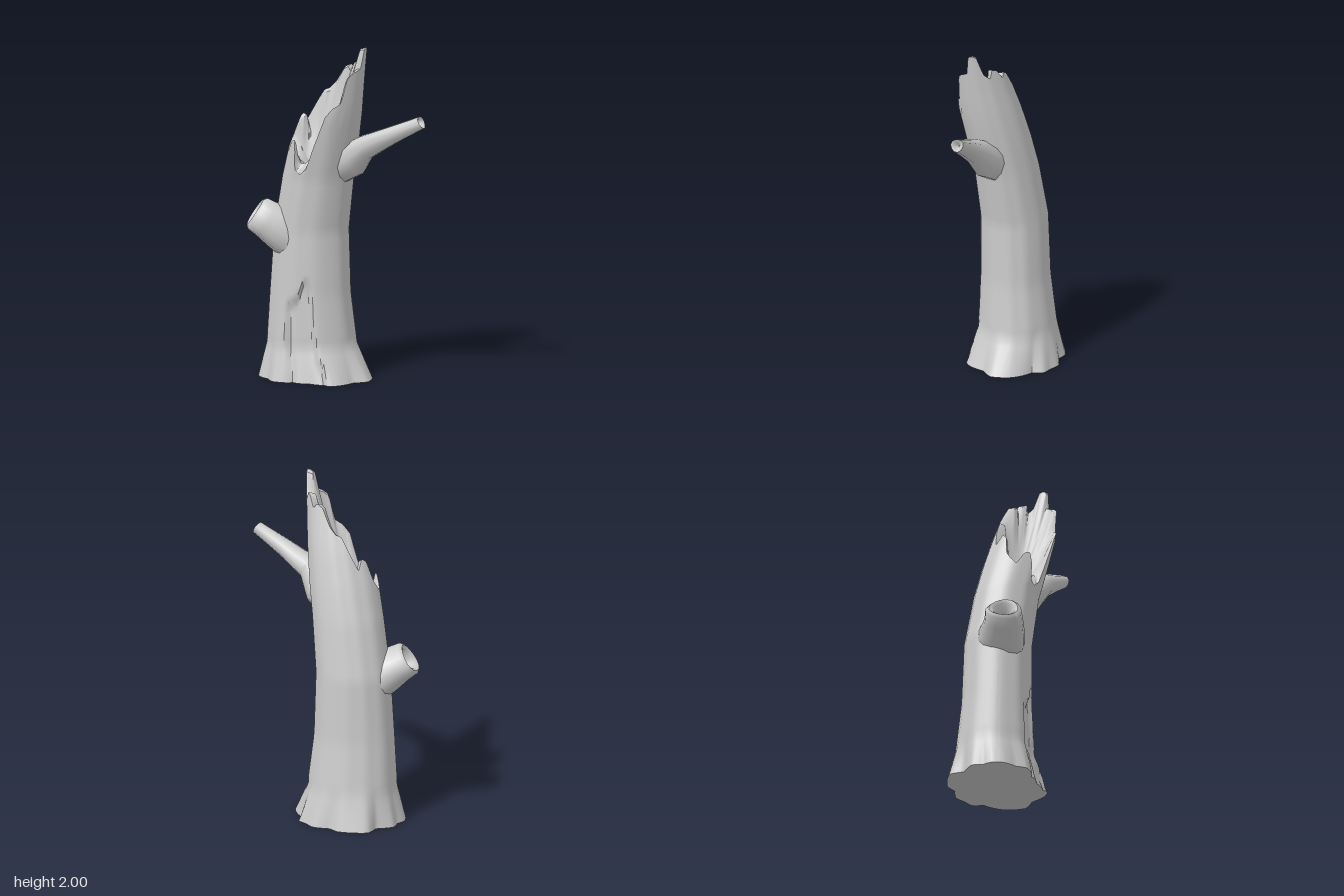
import * as THREE from 'three';
import { toCreasedNormals } from 'three/addons/utils/BufferGeometryUtils.js';

const material = new THREE.MeshStandardMaterial({ color: 0xcccccc, side: THREE.DoubleSide });

// Linear lookup in rows of [key, ...values]
function lookup(rows, key) {
  let i = 1;
  while (i < rows.length - 1 && rows[i][0] < key) i++;
  const a = rows[i - 1], b = rows[i];
  const t = THREE.MathUtils.clamp((key - a[0]) / (b[0] - a[0]), 0, 1);
  return a.slice(1).map((v, k) => THREE.MathUtils.lerp(v, b[k + 1], t));
}

// Lookup in rows keyed by degrees from -180 to 180
function lookupAngle(rows, angle) {
  const degrees = THREE.MathUtils.radToDeg(angle);
  return lookup(rows, THREE.MathUtils.euclideanModulo(degrees + 180, 360) - 180)[0];
}

// Skin a list of closed rings that all have the same point count
function skin(name, rings, crease) {
  const n = rings[0].length, index = [];
  for (let i = 0; i < rings.length - 1; i++) {
    for (let j = 0; j < n; j++) {
      const k = (j + 1) % n;
      const a = i * n + j, b = i * n + k, c = a + n, d = b + n;
      index.push(a, c, b, b, c, d);
    }
  }
  const geometry = new THREE.BufferGeometry().setFromPoints(rings.flat());
  geometry.setIndex(index);
  const mesh = new THREE.Mesh(toCreasedNormals(geometry, crease), material);
  mesh.name = name;
  return mesh;
}

// Leaning trunk: y, centre x, centre z, radius x, radius z
const trunkRows = [
  [0, -0.14, -0.03, 0.335, 0.285],
  [0.2, -0.16, -0.045, 0.262, 0.228],
  [0.5, -0.168, -0.035, 0.235, 0.202],
  [0.88, -0.16, -0.028, 0.217, 0.195],
  [1.2, -0.115, 0.015, 0.207, 0.187],
  [1.4, -0.075, 0.06, 0.2, 0.187],
  [1.6, -0.033, 0.108, 0.184, 0.18],
  [1.85, 0.018, 0.158, 0.156, 0.146],
  [2, 0.05, 0.185, 0.14, 0.115],
];

// Splintered rim: angle in degrees (0 = +x, 90 = front), height
const rimRows = [
  [-180, 1.38], [-170, 1.42], [-158, 1.54], [-148, 1.56], [-138, 1.5],
  [-128, 1.58], [-115, 1.69], [-105, 1.7], [-95, 1.74], [-82, 1.84],
  [-68, 1.86], [-58, 1.83], [-48, 1.89], [-36, 1.9], [-24, 1.85],
  [-12, 1.88], [-3, 1.99], [10, 2], [22, 1.99], [30, 1.88], [48, 1.86],
  [62, 1.83], [68, 1.68], [82, 1.65], [93, 1.6], [102, 1.42], [108, 1.27],
  [118, 1.23], [130, 1.26], [138, 1.36], [148, 1.43], [158, 1.42],
  [166, 1.34], [180, 1.38],
];

// Uneven root flare at ground level: angle in degrees, radius factor
const rootRows = [
  [-180, 0.98], [-168, 0.92], [-155, 0.99], [-136, 0.87], [-122, 1.07],
  [-93, 1.02], [-82, 0.9], [-65, 1], [-52, 0.95], [-40, 0.98], [-27, 0.85],
  [2, 0.99], [25, 1.06], [40, 0.93], [60, 1.02], [78, 1.03], [92, 0.9],
  [105, 0.93], [120, 0.86], [135, 0.95], [150, 0.89], [165, 0.97], [180, 0.98],
];

// Depth from 0 to 1 of the patch of missing bark low on the front
function scarDepth(x, y, angle) {
  if (Math.sin(angle) < 0) return 0;
  const right = lookup([[0, -0.03], [0.1, -0.06], [0.14, -0.09], [0.3, -0.12], [0.57, -0.14]], y)[0];
  const top = lookup([[-0.3, 0.44], [-0.22, 0.5], [-0.19, 0.59], [-0.13, 0.55]], x)[0];
  return THREE.MathUtils.clamp(Math.min(x + 0.3, right - x, top - y) / 0.02, 0, 1);
}

function trunkPoint(angle, y) {
  const [cx, cz, rx, rz] = lookup(trunkRows, y);
  const flare = Math.max(0, 1 - y / 0.24);
  const bark = 0.992 + 0.008 * Math.sin(11 * angle + Math.sin(3 * angle));
  const k = THREE.MathUtils.lerp(bark, lookupAngle(rootRows, angle), flare)
    * (1 - 0.13 * scarDepth(cx + rx * Math.cos(angle), y, angle));
  return new THREE.Vector3(cx + rx * k * Math.cos(angle), y, cz + rz * k * Math.sin(angle));
}

// Rim height averaged over nearby angles, for the smooth inside
function softRim(angle) {
  const offsets = [-0.5, -0.3, -0.1, 0.1, 0.3, 0.5];
  return offsets.reduce((sum, o) => sum + lookupAngle(rimRows, angle + o), 0) / offsets.length;
}

function trunk() {
  const sides = 120;
  const angles = Array.from({ length: sides }, (_, i) => (i / sides) * Math.PI * 2);
  const ring = (f) => angles.map((a) => f(a, lookupAngle(rimRows, a)));
  const rings = [ring(() => new THREE.Vector3(-0.14, 0, -0.03))];
  // Outer bark
  for (let i = 0; i <= 30; i++) rings.push(ring((a) => trunkPoint(a, i * 0.04)));
  for (let i = 1; i <= 8; i++) {
    rings.push(ring((a, h) => trunkPoint(a, THREE.MathUtils.lerp(1.2, h, i / 8))));
  }
  // Splintered wood: a lip, then a slope running down to the low notch
  const notch = new THREE.Vector3(-0.14, 1.24, 0.08);
  for (const t of [0, 0.2, 0.4, 0.6, 0.8, 1]) {
    rings.push(ring((a, h) => {
      const y = THREE.MathUtils.lerp(h, softRim(a), Math.min(1, t * 2.5));
      const [cx, cz] = lookup(trunkRows, y);
      const thick = 0.16 + 0.1 * Math.cos(a) - 0.07 * Math.sin(a);
      const lip = trunkPoint(a, y).lerp(new THREE.Vector3(cx, y, cz), thick);
      lip.y -= 0.01 + 0.1 * Math.sin(Math.PI * t) * (y - 1.2);
      return lip.lerp(notch, t);
    }));
  }
  return skin('trunk', rings, 0.75);
}

// Limb with round sections [x, y, z, radius] square to one axis
function limb(name, sections, axis, sides, wobble) {
  const turn = new THREE.Quaternion().setFromUnitVectors(
    new THREE.Vector3(0, 1, 0), new THREE.Vector3(...axis).normalize());
  const rings = sections.map(([x, y, z, r]) => Array.from({ length: sides }, (_, j) => {
    const a = (j / sides) * Math.PI * 2;
    const k = r * (1 + wobble * Math.sin(3 * a + 1));
    return new THREE.Vector3(k * Math.cos(a), 0, k * Math.sin(a))
      .applyQuaternion(turn).add(new THREE.Vector3(x, y, z));
  }));
  return skin(name, rings, 0.9);
}

export function createModel() {
  const group = new THREE.Group();
  group.name = 'brokenTree';
  group.add(trunk());
  // Long bare branch on the left with a chipped end
  group.add(limb('branch', [
    [0.0, 1.24, 0.07, 0.085], [0.1, 1.325, 0.125, 0.104], [0.18, 1.41, 0.19, 0.072],
    [0.34, 1.495, 0.235, 0.053], [0.515, 1.583, 0.275, 0.038],
    [0.505, 1.578, 0.272, 0.025], [0.46, 1.558, 0.262, 0],
  ], [0.84, 0.46, 0.24], 10, 0.06));
  // Short hollow stub on the right, swelling into the trunk
  group.add(limb('stub', [
    [-0.2, 0.79, -0.02, 0.14], [-0.28, 0.845, 0.0, 0.142], [-0.34, 0.885, 0.018, 0.132],
    [-0.41, 0.927, 0.036, 0.112], [-0.467, 0.963, 0.04, 0.104], [-0.482, 0.971, 0.04, 0.084],
    [-0.47, 0.965, 0.04, 0.062], [-0.41, 0.925, 0.035, 0.043], [-0.4, 0.92, 0.035, 0],
  ], [-0.83, 0.56, 0.08], 16, 0.06));
  return group;
}
